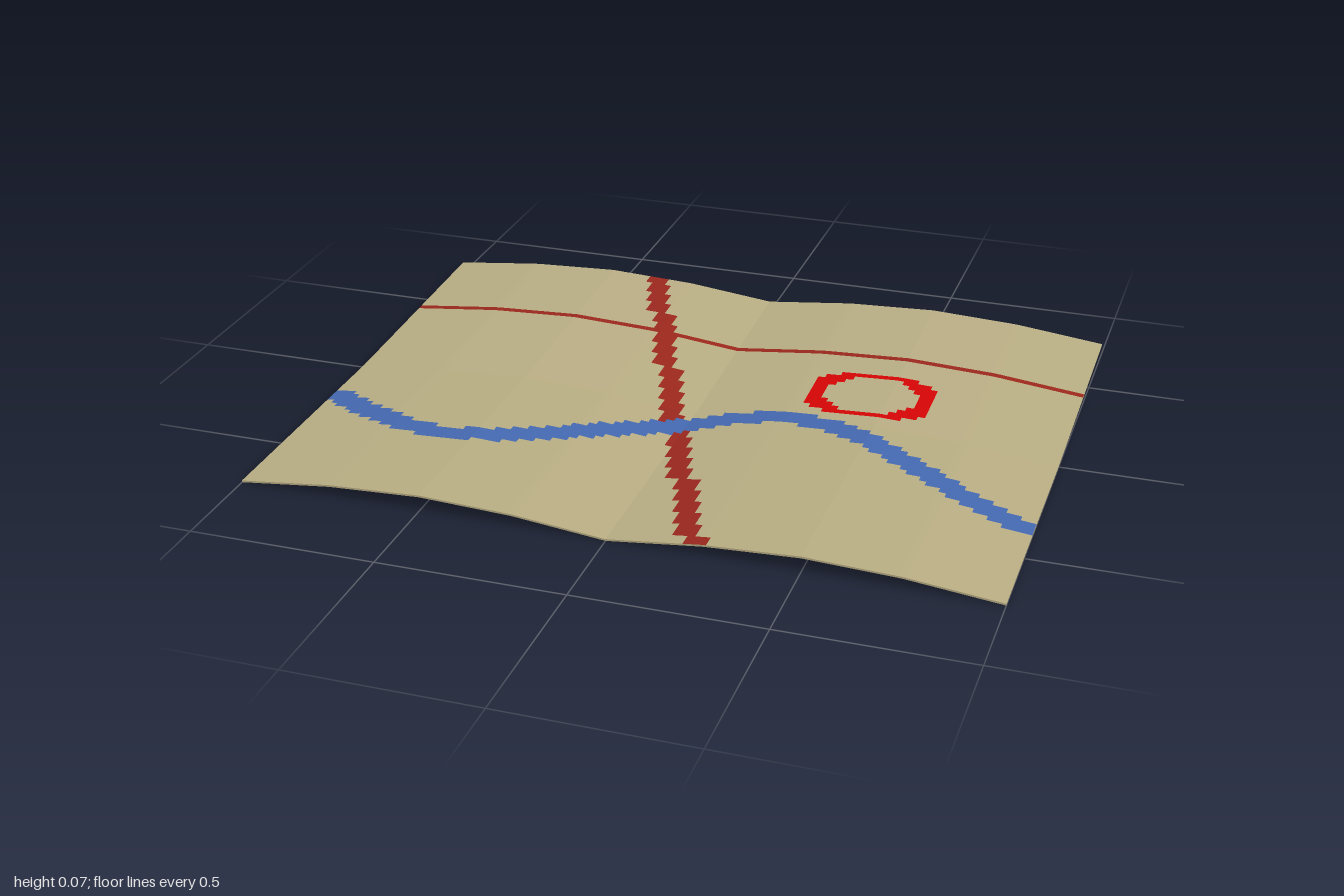
import * as THREE from 'three';

const W = 2, D = 1.46, CELL = 0.02, COLS = 100, ROWS = 73, THICK = 0.005;

// Two shallow arched panels, with the back half tilting upward.
function height(x, z) {
  const s = Math.abs(x) * 4, i = Math.floor(s), f = s - i;
  const arch = k => 0.039 * Math.abs(Math.sin(k * Math.PI / 4));
  return arch(i) * (1 - f) + arch(i + 1) * f + 0.029 * Math.max(0, -z) / (D / 2);
}

// Adds an upward (or downward) facing quad that follows the sheet.
function addQuad(out, x0, x1, z0, z1, lift, down) {
  const p = (x, z) => [x, height(x, z) + lift, z];
  const a = p(x0, z0), b = p(x0, z1), c = p(x1, z1), d = p(x1, z0);
  if (down) out.push(...a, ...c, ...b, ...a, ...d, ...c);
  else out.push(...a, ...b, ...c, ...a, ...c, ...d);
}

// Adds a vertical rim quad between two points, facing outward.
function addRim(out, x0, z0, x1, z1) {
  const p = (x, z, lift) => [x, height(x, z) + lift, z];
  const a = p(x0, z0, 0), b = p(x1, z1, 0), c = p(x1, z1, THICK), d = p(x0, z0, THICK);
  out.push(...a, ...b, ...c, ...a, ...c, ...d);
}

function meshFrom(name, positions, material) {
  const g = new THREE.BufferGeometry();
  g.setAttribute('position', new THREE.Float32BufferAttribute(positions, 3));
  g.computeVertexNormals();
  const mesh = new THREE.Mesh(g, material);
  mesh.name = name;
  return mesh;
}

export function createModel() {
  const mat = (name, color) => {
    const m = new THREE.MeshStandardMaterial({ color });
    m.name = name;
    return m;
  };
  const materials = {
    paper: mat('tan paper', 0xb8ad83),
    backing: mat('pale backing', 0xd0ccc0),
    road: mat('road red', 0x9a271d),
    river: mat('river blue', 0x4468b0),
    marker: mat('marker red', 0xd40505),
  };
  const group = new THREE.Group();
  group.name = 'foldedMap';

  // Plain underside and the paper's thin rim
  const under = [], rim = [];
  for (let i = 0; i < 8; i++) {
    const x0 = -W / 2 + i * 0.25, x1 = x0 + 0.25;
    addQuad(under, x0, x1, -D / 2, 0, 0, true);
    addQuad(under, x0, x1, 0, D / 2, 0, true);
    addRim(rim, x0, D / 2, x1, D / 2);
    addRim(rim, x1, -D / 2, x0, -D / 2);
  }
  for (const [z0, z1] of [[-D / 2, 0], [0, D / 2]]) {
    addRim(rim, W / 2, z1, W / 2, z0);
    addRim(rim, -W / 2, z0, -W / 2, z1);
  }
  group.add(meshFrom('sheetUnderside', under, materials.backing));
  group.add(meshFrom('sheetRim', rim, materials.paper));

  // Printed top: each cell of the sheet holds the last ink put on it
  const ink = new Array(COLS * ROWS).fill('paper');
  const paint = (c, r, name) => {
    if (c >= 0 && c < COLS && r >= 0 && r < ROWS) ink[r * COLS + c] = name;
  };
  const stamp = (x, z, name) => {
    const c = Math.floor((x + W / 2) / CELL), r = Math.floor((z + D / 2) / CELL);
    for (let i = -1; i <= 1; i++) for (let j = -1; j <= 1; j++) paint(c + i, r + j, name);
  };

  // Straight cross road, one cell wide
  for (let c = 0; c < COLS; c++) paint(c, 16, 'road');
  // Diagonal road
  for (let i = 0; i <= 24; i++) {
    const t = i / 24;
    stamp(-0.355 + 0.575 * t, -0.729 + 1.458 * t, 'road');
  }
  // Winding river
  for (let c = 0; c < COLS; c++) {
    const x = -0.99 + c * CELL;
    stamp(x, 0.19 - 0.186 * Math.cos(Math.PI * (x - 0.25) / 0.83), 'river');
  }
  // Ring marker, thinnest at the front and back
  for (let c = 0; c < COLS; c++) {
    for (let r = 0; r < ROWS; r++) {
      const x = Math.abs(-0.99 + c * CELL - 0.45), z = Math.abs(-0.72 + r * CELL + 0.17);
      const outer = (x / 0.178) ** 2.5 + (z / 0.126) ** 2.5;
      const inner = (x / 0.128) ** 2 + (z / 0.105) ** 2;
      if (outer < 1 && inner > 1) paint(c, r, 'marker');
    }
  }

  // One mesh per colour, together tiling the whole top without overlap
  for (const name of ['paper', 'road', 'river', 'marker']) {
    const out = [];
    ink.forEach((value, key) => {
      if (value !== name) return;
      const x = -W / 2 + (key % COLS) * CELL, z = -D / 2 + Math.floor(key / COLS) * CELL;
      addQuad(out, x, x + CELL, z, z + CELL, THICK, false);
    });
    group.add(meshFrom(name === 'paper' ? 'sheetTop' : name, out, materials[name]));
  }
  return group;
}
